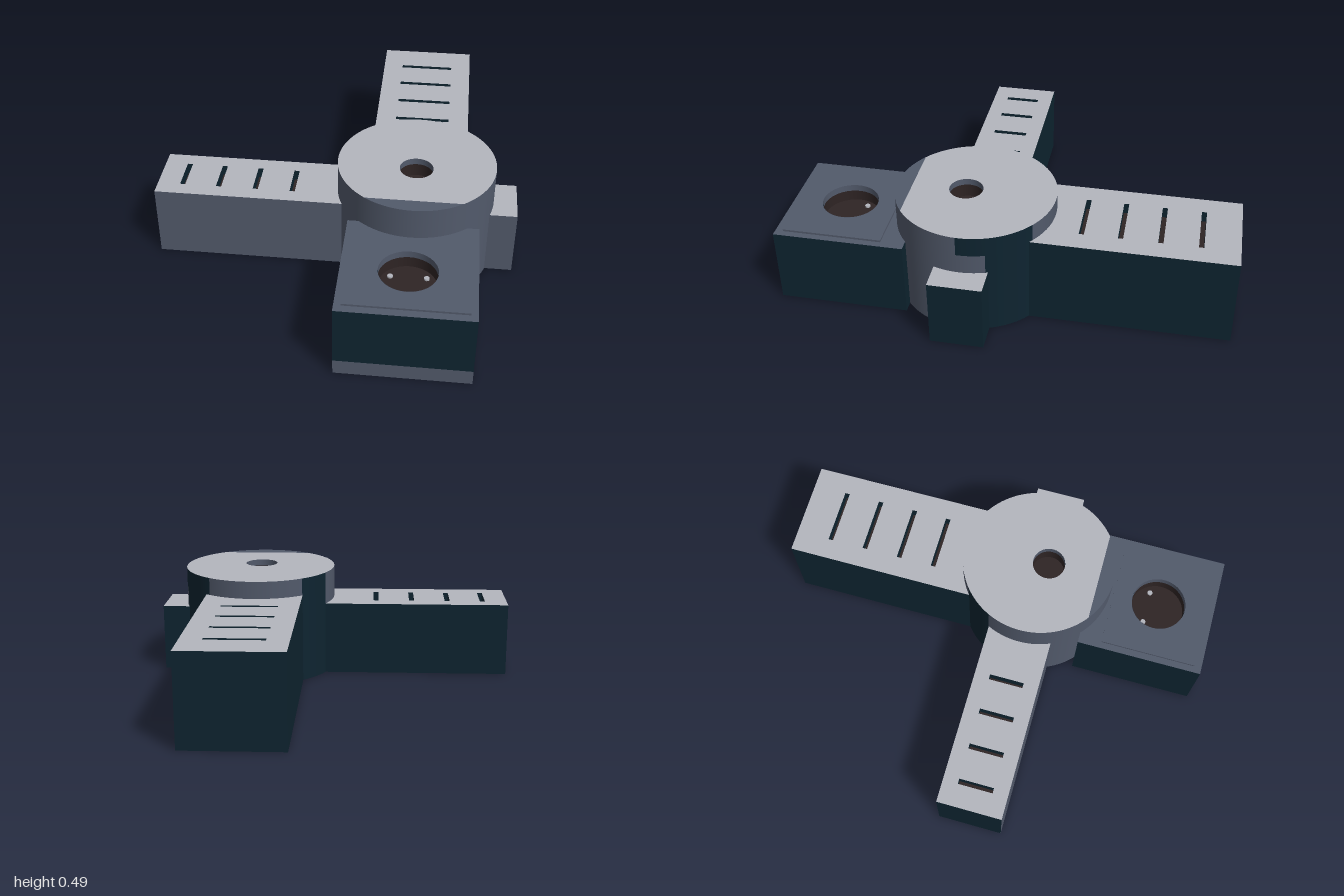
import * as THREE from 'three';

const mat = (name, color) => {
  const m = new THREE.MeshStandardMaterial({ color, side: THREE.DoubleSide });
  m.name = name;
  return m;
};

export function createModel() {
  const light = mat('roofGrey', 0xb4b6be);
  const slate = mat('slate', 0x525a6b);
  const dark = mat('darkTeal', 0x0e2430);
  const brown = mat('darkBrown', 0x2e2424);

  const model = new THREE.Group();
  model.name = 'building';

  const add = (parent, name, geometry, material, x = 0, y = 0, z = 0) => {
    const mesh = new THREE.Mesh(geometry, material);
    mesh.name = name;
    mesh.position.set(x, y, z);
    parent.add(mesh);
    return mesh;
  };
  const box = (parent, name, [x0, x1], [y0, y1], [z0, z1], material) =>
    add(parent, name, new THREE.BoxGeometry(x1 - x0, y1 - y0, z1 - z0), material,
      (x0 + x1) / 2, (y0 + y1) / 2, (z0 + z1) / 2);
  // Plan shapes are drawn as (x, -z) and laid flat
  const flat = (shape) => new THREE.ShapeGeometry(shape, 48).rotateX(-Math.PI / 2);
  const rect = (Type, [x0, x1], [z0, z1]) => {
    const s = new Type();
    s.moveTo(x0, -z1).lineTo(x1, -z1).lineTo(x1, -z0).lineTo(x0, -z0).closePath();
    return s;
  };
  const circle = (x, z, r) => new THREE.Path().absarc(x, -z, r, 0, Math.PI * 2, true);

  // Wing: base box and a pierced roof slab, so each slot is a real recess
  const wing = (name, xs, h, zs, slots, sides) => {
    const g = new THREE.Group();
    g.name = name;
    model.add(g);
    const depth = 0.05;
    box(g, 'wingBase', xs, [0, h - depth], zs, sides);
    const [px, nx, , , pz, nz] = sides;
    const mid = h - depth / 2;
    const w = xs[1] - xs[0], d = zs[1] - zs[0];
    const cx = (xs[0] + xs[1]) / 2, cz = (zs[0] + zs[1]) / 2;
    // Upper walls
    add(g, 'frontWall', new THREE.PlaneGeometry(w, depth), pz, cx, mid, zs[1]);
    add(g, 'backWall', new THREE.PlaneGeometry(w, depth), nz, cx, mid, zs[0]).rotation.y = Math.PI;
    add(g, 'leftWall', new THREE.PlaneGeometry(d, depth), px, xs[1], mid, cz).rotation.y = Math.PI / 2;
    add(g, 'rightWall', new THREE.PlaneGeometry(d, depth), nx, xs[0], mid, cz).rotation.y = -Math.PI / 2;
    // Roof with slots
    const roof = rect(THREE.Shape, xs, zs);
    for (const [sx, sz] of slots) {
      roof.holes.push(rect(THREE.Path, sx, sz));
      const sw = sx[1] - sx[0], sd = sz[1] - sz[0];
      const mx = (sx[0] + sx[1]) / 2, mz = (sz[0] + sz[1]) / 2;
      for (const s of [-1, 1]) {
        add(g, 'slotSide', new THREE.PlaneGeometry(sw, depth), dark, mx, mid, mz + s * sd / 2)
          .rotation.y = s > 0 ? Math.PI : 0;
        add(g, 'slotEnd', new THREE.PlaneGeometry(sd, depth), dark, mx + s * sw / 2, mid, mz)
          .rotation.y = -s * Math.PI / 2;
      }
    }
    add(g, 'roof', flat(roof), light, 0, h, 0);
  };

  const across = (z) => [[0.235, 0.49], [z - 0.011, z + 0.011]];
  const along = (x) => [[x - 0.012, x + 0.012], [0.07, 0.23]];
  wing('backWing', [0.14, 0.585], 0.41, [-1, -0.05],
    [-0.835, -0.665, -0.495, -0.328].map(across), [dark, dark, brown, dark, dark, dark]);
  wing('rightWing', [-0.82, 0.1], 0.34, [0, 0.3],
    [-0.705, -0.538, -0.368, -0.198].map(along), [dark, dark, brown, dark, slate, dark]);

  // Small side block
  box(model, 'sideBlock', [0.62, 0.82], [0, 0.31], [0.035, 0.27],
    [dark, dark, light, dark, slate, dark]);

  // Round hall: wall arcs in degrees from the front, turning towards +x
  const R = 0.355, CX = 0.36, CZ = 0.155, H = 0.49;
  const hall = new THREE.Group();
  hall.name = 'roundHall';
  model.add(hall);
  const arcs = [
    [-116, 88, 0.4, H, slate], [88, 144, 0.4, H, dark],
    [144, 218, 0.4, H, slate], [218, 244, 0.4, H, dark],
    [-116, 108, 0, 0.4, slate], [108, 244, 0, 0.4, dark],
  ];
  for (const [a, b, y0, y1, m] of arcs) {
    const rad = THREE.MathUtils.degToRad;
    add(hall, 'hallWall', new THREE.CylinderGeometry(R, R, y1 - y0, Math.ceil((b - a) / 4), 1, true,
      rad(a), rad(b - a)), m, CX, (y0 + y1) / 2, CZ);
  }
  add(hall, 'hallFloor', new THREE.CircleGeometry(R, 80).rotateX(Math.PI / 2), dark, CX, 0, CZ);
  // Hall roof with a slate strip along its front edge
  const half = Math.acos(0.285 / R), front = -Math.PI / 2;
  const roof = new THREE.Shape().absarc(CX, -CZ, R, front + half, front - half + Math.PI * 2, false);
  roof.holes.push(circle(0.36, 0.2, 0.075));
  add(hall, 'hallRoof', flat(roof), light, 0, H, 0);
  add(hall, 'roofEdge', flat(new THREE.Shape().absarc(CX, -CZ, R, front - half, front + half, false)),
    slate, 0, H, 0);

  // Round well: slate rim, brown shaft and floor
  const well = (name, x, top, z, r, depth) => {
    const g = new THREE.Group();
    g.name = name;
    g.position.set(x, top, z);
    model.add(g);
    const rim = 0.03;
    add(g, 'wellRim', new THREE.CylinderGeometry(r, r, rim, 40, 1, true), slate, 0, -rim / 2, 0);
    add(g, 'wellShaft', new THREE.CylinderGeometry(r, r, depth - rim, 40, 1, true), brown,
      0, -(depth + rim) / 2, 0);
    add(g, 'wellFloor', new THREE.CircleGeometry(r, 40).rotateX(-Math.PI / 2), brown, 0, -depth, 0);
    return g;
  };
  well('hallWell', 0.36, H, 0.2, 0.075, 0.09);

  // Front block: walls, slate plinth strip, and a raised roof plate with a well
  const fx = [0.075, 0.65], fz = [0.42, 1], base = 0.27, fh = 0.345, plate = 0.354;
  const block = new THREE.Group();
  block.name = 'frontBlock';
  model.add(block);
  box(block, 'plinth', fx, [0, 0.07], fz, [dark, dark, dark, dark, slate, dark]);
  box(block, 'blockBody', fx, [0.07, base], fz, dark);
  const pierced = (xs, zs, depth) => {
    const s = rect(THREE.Shape, xs, zs);
    s.holes.push(circle(0.36, 0.74, 0.126));
    return new THREE.ExtrudeGeometry(s, { depth, bevelEnabled: false, curveSegments: 40 })
      .rotateX(-Math.PI / 2);
  };
  add(block, 'blockTop', pierced(fx, fz, fh - base), [slate, dark], 0, base, 0);
  add(block, 'roofPlate', pierced([0.105, 0.62], [0.525, 0.965], plate - fh), slate, 0, fh, 0);
  const frontWell = well('frontWell', 0.36, plate, 0.74, 0.125, 0.08);
  for (const s of [-1, 1])
    add(frontWell, 'stud', new THREE.CylinderGeometry(0.012, 0.012, 0.008, 12), light,
      s * 0.077, -0.075, -0.048);

  return model;
}
